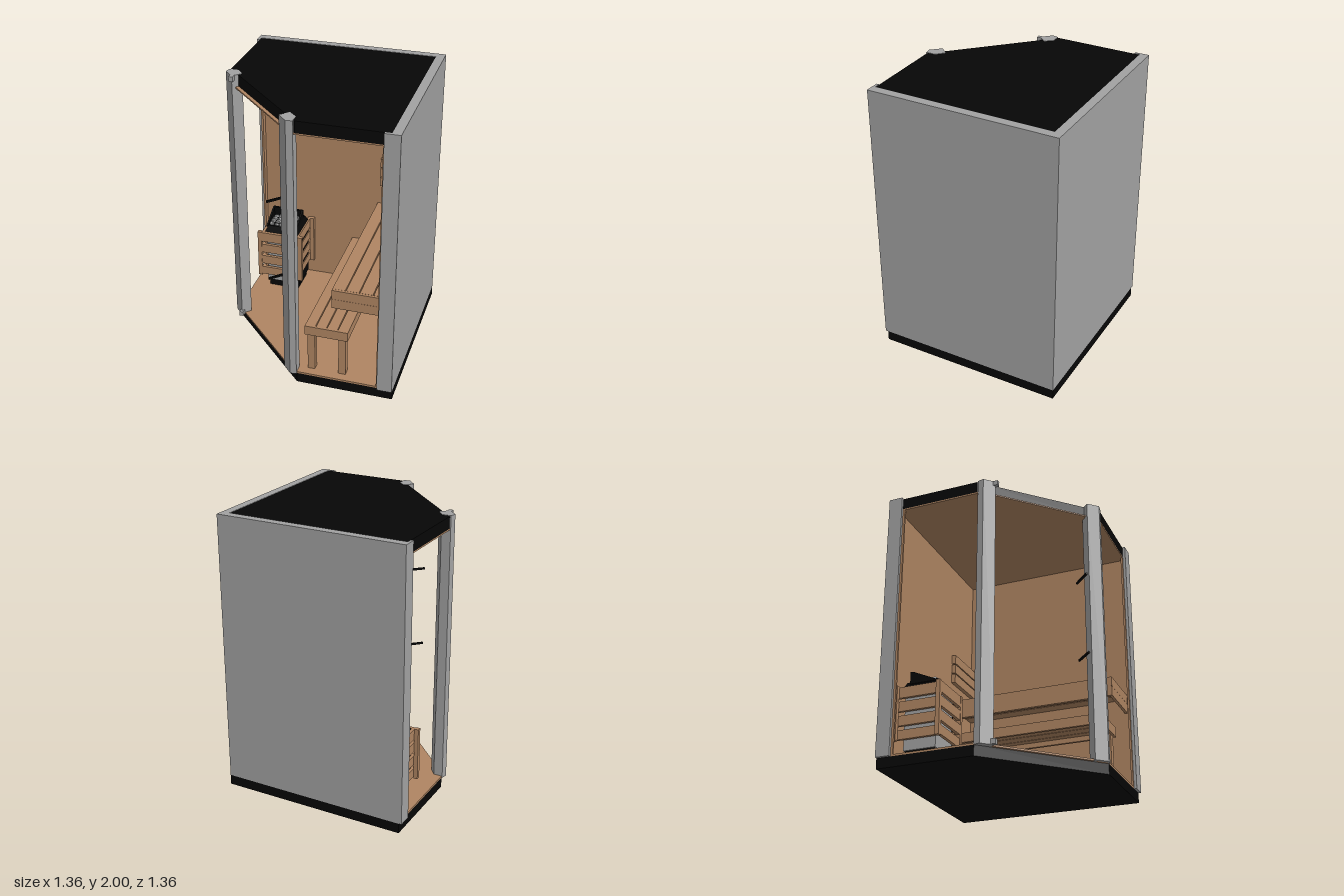
import * as THREE from 'three';

export function createModel() {
  const root = new THREE.Group();
  root.name = 'cornerSauna';
  const mat = (name, color) => {
    const m = new THREE.MeshStandardMaterial({ color });
    m.name = name;
    return m;
  };
  const grey = mat('grey panel', 0xa2a2a2);
  const wood = mat('wood', 0xaf8562);
  const black = mat('black', 0x060606);

  const add = (parent, name, geo, m) => {
    const mesh = new THREE.Mesh(geo, m);
    mesh.name = name;
    parent.add(mesh);
    return mesh;
  };
  const group = (name) => {
    const g = new THREE.Group();
    g.name = name;
    root.add(g);
    return g;
  };
  // box given by its limits on each axis
  const box = (parent, name, m, x0, x1, y0, y1, z0, z1) => {
    const mesh = add(parent, name, new THREE.BoxGeometry(x1 - x0, y1 - y0, z1 - z0), m);
    mesh.position.set((x0 + x1) / 2, (y0 + y1) / 2, (z0 + z1) / 2);
    return mesh;
  };
  // upright prism from a plan outline of [x, z] points
  const prism = (parent, name, m, pts, y0, y1) => {
    const shape = new THREE.Shape(pts.map(([x, z]) => new THREE.Vector2(x, -z)));
    const geo = new THREE.ExtrudeGeometry(shape, { depth: y1 - y0, bevelEnabled: false });
    geo.rotateX(-Math.PI / 2);
    geo.translate(0, y0, 0);
    return add(parent, name, geo, m);
  };

  // five-sided base, floor, ceiling and roof; the cut corner lies on z - x = cut
  const plan = (back, right, cut) =>
    [[-0.66, back], [right, back], [right, 0.66], [0.66 - cut, 0.66], [-0.66, cut - 0.66]];
  prism(root, 'base', black, plan(-0.68, 0.68, 0.66), 0, 0.072);
  prism(root, 'floor', wood, plan(-0.62, 0.62, 0.685), 0.072, 0.085);
  prism(root, 'ceiling', wood, plan(-0.62, 0.62, 0.685), 1.905, 1.915);
  prism(root, 'roof', black, plan(-0.62, 0.62, 0.65), 1.915, 1.997);

  // two full walls with short corner trims and thin wooden lining
  const walls = group('walls');
  box(walls, 'backWall', grey, -0.68, 0.68, 0.072, 2, -0.68, -0.62);
  box(walls, 'sideWall', grey, 0.62, 0.68, 0.072, 2, -0.62, 0.68);
  box(walls, 'backWallTrim', grey, -0.68, -0.66, 0.072, 2, -0.62, -0.58);
  box(walls, 'sideWallTrim', grey, 0.575, 0.62, 0.072, 2, 0.66, 0.68);
  box(walls, 'backLining', wood, -0.66, 0.62, 0.085, 1.905, -0.62, -0.61);
  box(walls, 'sideLining', wood, 0.61, 0.62, 0.085, 1.905, -0.61, 0.658);
  box(walls, 'backTrimLining', wood, -0.66, -0.645, 0.085, 1.905, -0.61, -0.565);
  box(walls, 'sideTrimLining', wood, 0.565, 0.61, 0.085, 1.905, 0.645, 0.659);

  // angled entrance posts
  const posts = group('entrancePosts');
  prism(posts, 'outerPost', grey,
    [[-0.665, 0], [-0.6, 0], [-0.555, 0.055], [-0.61, 0.11], [-0.675, 0.045]], 0.072, 2);
  prism(posts, 'middlePost', grey,
    [[-0.11, 0.605], [-0.055, 0.55], [0, 0.6], [0, 0.67], [-0.045, 0.675]], 0.072, 2);
  for (const y of [0.075, 1.965]) {
    box(posts, 'doorHinge', grey, -0.625, -0.595, y, y + 0.035, 0.085, 0.13);
  }

  // door handle rods, square to the entrance
  for (const y of [0.79, 1.38]) {
    const rod = add(root, 'handleRod', new THREE.BoxGeometry(0.155, 0.014, 0.012), black);
    rod.position.set(-0.148, y, 0.563);
    rod.rotation.y = Math.PI / 4;
  }

  // slats side by side in x, running along z
  const slatTop = (parent, x0, x1, y0, y1, z0, z1, n) => {
    const w = (x1 - x0 + 0.006) / n;
    for (let i = 0; i < n; i++) {
      box(parent, 'slat', wood, x0 + i * w, x0 + (i + 1) * w - 0.006, y0, y1, z0, z1);
    }
  };

  // upper bench along the side wall
  const bench = group('bench');
  slatTop(bench, 0.24, 0.61, 0.755, 0.79, -0.61, 0.61, 4);
  for (const y of [0.65, 0.72]) {
    box(bench, 'frontFascia', wood, 0.24, 0.61, y, y + 0.069, 0.61, 0.63);
  }
  box(bench, 'longFascia', wood, 0.24, 0.265, 0.65, 0.755, -0.61, 0.61);

  // backrest at the end of the bench
  const backrest = group('backrest');
  for (const y of [0.95, 1.027, 1.104]) {
    box(backrest, 'backrestSlat', wood, 0.26, 0.61, y, y + 0.068, -0.61, -0.58);
  }

  // low step along the bench
  const step = group('step');
  slatTop(step, 0.045, 0.35, 0.415, 0.45, -0.59, 0.595, 4);
  for (const z of [-0.608, 0.595]) box(step, 'endRail', wood, 0.045, 0.35, 0.38, 0.45, z, z + 0.018);
  for (const x of [0.045, 0.33]) box(step, 'sideRail', wood, x, x + 0.02, 0.38, 0.415, -0.59, 0.595);
  for (const x of [0.06, 0.28]) {
    for (const z of [-0.58, 0.545]) box(step, 'stepLeg', wood, x, x + 0.052, 0.085, 0.415, z, z + 0.05);
  }

  // heater
  const heater = group('heater');
  box(heater, 'heaterFoot', black, -0.54, -0.31, 0.085, 0.14, -0.54, -0.33);
  box(heater, 'heaterBody', grey, -0.55, -0.315, 0.14, 0.57, -0.55, -0.32);
  box(heater, 'heaterSidePanel', black, -0.315, -0.297, 0.13, 0.575, -0.555, -0.315);
  // tray tapering towards the top
  const tray = new THREE.CylinderGeometry(0.11 * Math.SQRT2, 0.132 * Math.SQRT2, 0.05, 4, 1).toNonIndexed();
  tray.rotateY(Math.PI / 4);
  tray.computeVertexNormals();
  add(heater, 'heaterTray', tray, black).position.set(-0.43, 0.595, -0.435);
  // raised splash back with sloping cheeks
  box(heater, 'splashBack', black, -0.56, -0.32, 0.6, 0.685, -0.515, -0.495);
  for (const x of [-0.56, -0.332]) {
    const side = new THREE.Shape([[0.495, 0.6], [0.495, 0.685], [0.33, 0.61], [0.33, 0.6]].map(([a, b]) => new THREE.Vector2(a, b)));
    const cheek = new THREE.ExtrudeGeometry(side, { depth: 0.012, bevelEnabled: false });
    cheek.rotateY(Math.PI / 2);
    add(heater, 'splashCheek', cheek, black).position.set(x, 0, 0);
  }

  // seeded stones
  let seed = 7;
  const rnd = () => (seed = (seed * 16807) % 2147483647) / 2147483647;
  for (let i = 0; i < 5; i++) {
    for (let j = 0; j < 4; j++) {
      const stone = add(heater, 'stone', new THREE.IcosahedronGeometry(0.024, 0), grey);
      stone.position.set(-0.522 + i * 0.041, 0.614 + rnd() * 0.012, -0.47 + j * 0.04);
      stone.rotation.set(rnd() * 6, rnd() * 6, rnd() * 6);
      stone.scale.set(1, 0.6 + rnd() * 0.4, 0.8 + rnd() * 0.4);
    }
  }

  // wooden guard around the heater
  const guard = group('heaterGuard');
  for (const [y0, y1] of [[0.21, 0.275], [0.305, 0.375], [0.405, 0.475], [0.5, 0.577]]) {
    box(guard, 'frontSlat', wood, -0.58, -0.29, y0, y1, -0.295, -0.272);
    for (const x of [-0.58, -0.31]) box(guard, 'sideSlat', wood, x, x + 0.02, y0, y1, -0.61, -0.295);
  }
  for (const x of [-0.61, -0.29]) {
    for (const z of [-0.3, -0.61]) box(guard, 'guardPost', wood, x, x + 0.03, 0.2, 0.58, z, z + 0.03);
  }

  return root;
}
